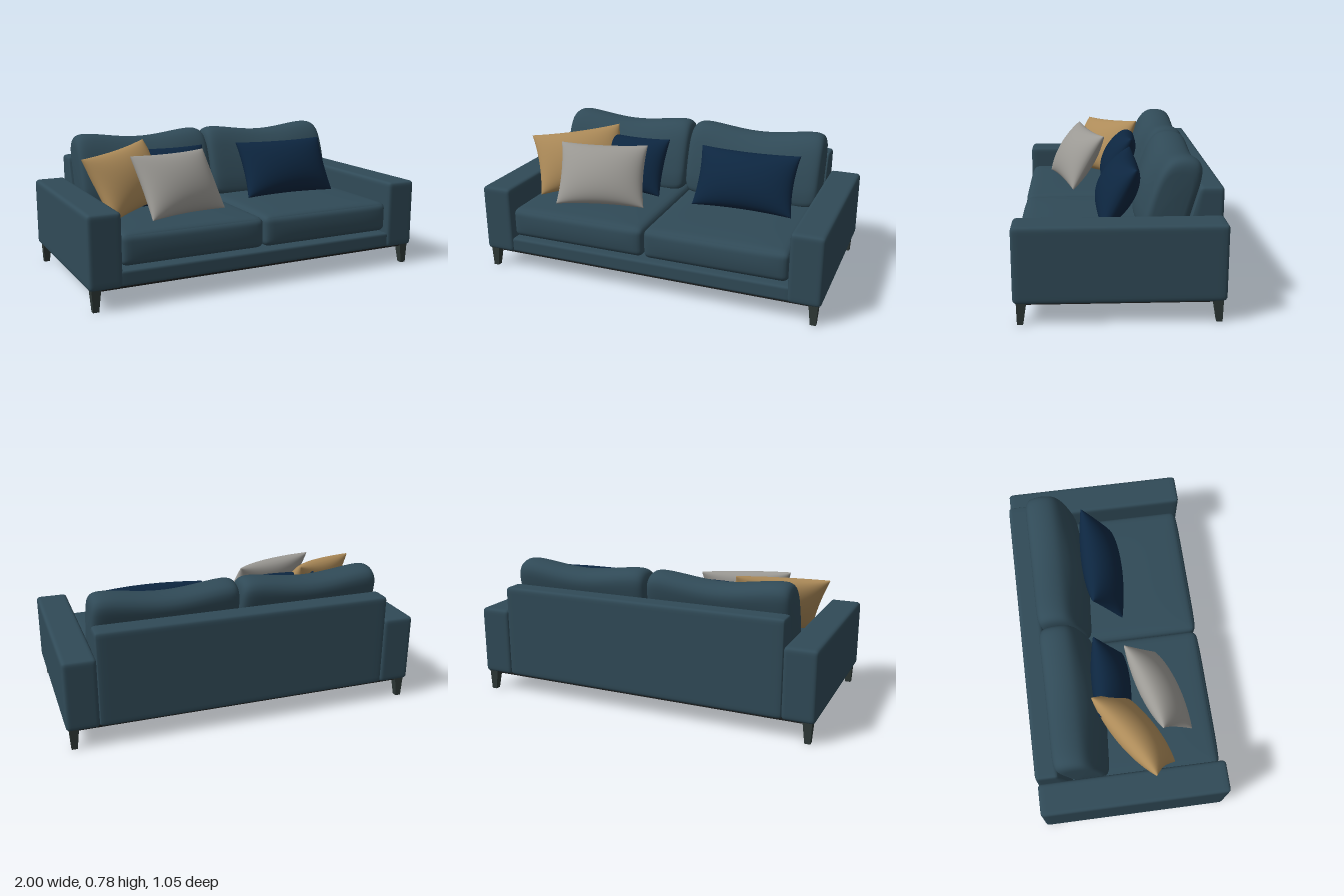
import * as THREE from 'three';
import { mergeVertices } from 'three/addons/utils/BufferGeometryUtils.js';

const paint = (name, color) => {
  const m = new THREE.MeshStandardMaterial({ color });
  m.name = name;
  return m;
};

// Share vertices along seams so the shading is smooth
function smooth(geo) {
  geo.deleteAttribute('uv');
  geo.deleteAttribute('normal');
  const merged = mergeVertices(geo, 1e-5);
  merged.computeVertexNormals();
  return merged;
}

// Box with rounded edges, given by its min and max corners; bend(p, u) may move points further
function softBox(min, max, r, bend) {
  const lo = new THREE.Vector3(...min), hi = new THREE.Vector3(...max);
  const half = hi.clone().sub(lo).multiplyScalar(0.5);
  const mid = hi.clone().add(lo).multiplyScalar(0.5);
  const inner = half.clone().subScalar(r);
  const geo = new THREE.BoxGeometry(2, 2, 2, 24, 24, 24);
  const pos = geo.attributes.position;
  const u = new THREE.Vector3(), p = new THREE.Vector3(), core = new THREE.Vector3();
  for (let i = 0; i < pos.count; i++) {
    u.fromBufferAttribute(pos, i);
    // crowd the grid towards the edges
    u.set(...u.toArray().map(c => Math.sin(c * Math.PI / 2)));
    p.copy(u).multiply(half);
    core.copy(p).clamp(inner.clone().negate(), inner);
    p.sub(core).setLength(r).add(core).add(mid);
    if (bend) bend(p, u);
    pos.setXYZ(i, p.x, p.y, p.z);
  }
  return smooth(geo);
}

// Stuffed pillow: thick in the middle, pinched to a thin seam, with pointed corners
function pillowGeometry(w, h, thick) {
  const geo = new THREE.BoxGeometry(2, 2, 2, 28, 28, 1);
  const pos = geo.attributes.position;
  for (let i = 0; i < pos.count; i++) {
    const u = Math.sin(pos.getX(i) * Math.PI / 2), v = Math.sin(pos.getY(i) * Math.PI / 2);
    const puff = Math.pow(Math.max(0, (1 - u * u) * (1 - v * v)), 0.5);
    pos.setXYZ(i,
      u * w / 2 * (1 - 0.06 * (1 - v * v)),
      v * h / 2 * (1 - 0.07 * (1 - u * u)),
      Math.sign(pos.getZ(i)) * (0.003 + puff * thick / 2));
  }
  return smooth(geo);
}

// Leaning back cushion, lofted along x from a side profile of [z, y] points
function backCushionGeometry(x0, x1) {
  const profile = [[-0.11, 0.39], [-0.105, 0.45], [-0.125, 0.54], [-0.16, 0.64], [-0.205, 0.725],
    [-0.26, 0.775], [-0.33, 0.788], [-0.395, 0.768], [-0.418, 0.73], [-0.41, 0.65], [-0.375, 0.53],
    [-0.345, 0.43], [-0.32, 0.38], [-0.22, 0.375]];
  const curve = new THREE.CatmullRomCurve3(profile.map(([z, y]) => new THREE.Vector3(0, y, z)), true);
  const ring = curve.getPoints(56).slice(0, -1);
  const n = ring.length, sections = 40, verts = [], index = [];
  const cy = 0.58, cz = -0.26;
  for (let i = 0; i <= sections; i++) {
    const s = Math.sin((i / sections - 0.5) * Math.PI);
    const k = Math.pow(Math.max(0, 1 - Math.pow(Math.abs(s), 14)), 1 / 7);
    const sag = Math.pow(Math.cos(s * Math.PI / 2), 2);
    for (const p of ring) {
      const top = THREE.MathUtils.smoothstep(p.y, 0.55, 0.76);
      const front = THREE.MathUtils.smoothstep(p.z, -0.3, -0.12);
      verts.push((x0 + x1) / 2 + s * (x1 - x0) / 2,
        cy + (p.y - 0.036 * sag * top - cy) * k,
        cz + (p.z + 0.02 * (sag - 0.8) * front - cz) * k);
    }
  }
  for (let i = 0; i < sections; i++) {
    for (let j = 0; j < n; j++) {
      const a = i * n + j, b = i * n + (j + 1) % n, c = a + n, d = b + n;
      index.push(a, c, b, b, c, d);
    }
  }
  const geo = new THREE.BufferGeometry();
  geo.setAttribute('position', new THREE.Float32BufferAttribute(verts, 3));
  geo.setIndex(index);
  geo.computeVertexNormals();
  return geo;
}

export function createModel() {
  const model = new THREE.Group();
  model.name = 'sofa';
  const teal = paint('teal fabric', 0x304a57);
  const navy = paint('navy fabric', 0x0d2640);
  const gold = paint('gold fabric', 0xad8b59);
  const grey = paint('light grey fabric', 0x9b9994);
  const black = paint('black lining', 0x1b1d1d);
  const slate = paint('dark slate panel', 0x1b2b37);
  const legGrey = paint('dark leg', 0x2e3836);

  const add = (name, geo, mat) => {
    const mesh = new THREE.Mesh(geo, mat);
    mesh.name = name;
    model.add(mesh);
    return mesh;
  };

  // Frame
  add('base', softBox([-0.84, 0.115, -0.5], [0.84, 0.2, 0.515], 0.015), teal);
  add('backrest', softBox([-0.825, 0.115, -0.523], [0.825, 0.643, -0.4], 0.02, (p, u) => {
    // the inner face slopes forward towards the seat
    if (u.z > 0) p.z += Math.min(0.1, (0.643 - p.y) * 0.27) * u.z;
  }), teal);
  add('underside', new THREE.BoxGeometry(1.95, 0.02, 1.0).translate(0, 0.115, 0), black);

  // Raised panel under the seat
  const w = 0.76, z0 = -0.24, z1 = 0.43, r = 0.17;
  const outline = new THREE.Shape();
  outline.moveTo(-w + r, z0);
  outline.lineTo(w - r, z0);
  outline.quadraticCurveTo(w - 0.03, z0 + 0.03, w, z0 + r);
  outline.lineTo(w, z1 - r);
  outline.quadraticCurveTo(w - 0.03, z1 - 0.03, w - r, z1);
  outline.lineTo(-w + r, z1);
  outline.quadraticCurveTo(-w + 0.03, z1 - 0.03, -w, z1 - r);
  outline.lineTo(-w, z0 + r);
  outline.quadraticCurveTo(-w + 0.03, z0 + 0.03, -w + r, z0);
  const panel = new THREE.ExtrudeGeometry(outline, { depth: 0.03, bevelEnabled: false, curveSegments: 8 });
  add('underPanel', panel.rotateX(Math.PI / 2).translate(0, 0.113, 0), slate);

  // Parts repeated on both sides
  for (const side of [1, -1]) {
    const label = side > 0 ? 'left' : 'right';
    const span = (a, b) => (side > 0 ? [a, b] : [-b, -a]);
    const [a0, a1] = span(0.82, 1);
    add(label + 'Arm', softBox([a0, 0.113, -0.523], [a1, 0.503, 0.523], 0.022), teal);

    const [s0, s1] = span(0.002, 0.818);
    add(label + 'SeatCushion', softBox([s0, 0.212, -0.4], [s1, 0.382, 0.505], 0.035, (p, u) => {
      // crowned top and gently swollen front
      if (u.y > 0) p.y += 0.016 * u.y * (1 - u.x ** 4) * (1 - u.z ** 4);
      if (u.z > 0) p.z += 0.012 * u.z * (1 - u.y ** 2) * (1 - u.x ** 6);
    }), teal);
    add(label + 'BackCushion', backCushionGeometry(...span(0.002, 0.818)), teal);

    // Tapered legs, straight on the outer sides
    for (const end of [1, -1]) {
      const leg = new THREE.BoxGeometry(0.05, 0.115, 0.05);
      const pos = leg.attributes.position;
      for (let i = 0; i < pos.count; i++) {
        if (pos.getY(i) < 0) {
          pos.setX(i, pos.getX(i) * 0.62 + side * 0.004);
          pos.setZ(i, pos.getZ(i) * 0.6 + end * 0.008);
        }
      }
      leg.computeVertexNormals();
      add(label + (end > 0 ? 'FrontLeg' : 'BackLeg'), leg, legGrey)
        .position.set(side * 0.958, 0.0575, end * 0.481);
    }
  }

  // Throw pillows: centre, width vector, height vector, thickness
  const pillows = [
    ['leftNavyPillow', navy, [0.425, 0.55, -0.01], [0.59, 0, 0], [0, 0.31, -0.17], 0.2],
    ['middleNavyPillow', navy, [-0.32, 0.55, -0.05], [0.46, 0, 0.02], [0, 0.31, -0.16], 0.18],
    ['goldPillow', gold, [-0.61, 0.57, 0.04], [0.45, 0.045, -0.29], [-0.13, 0.32, -0.13], 0.19],
    ['greyPillow', grey, [-0.38, 0.555, 0.21], [0.49, -0.01, -0.145], [-0.03, 0.315, -0.195], 0.18],
  ];
  for (const [name, mat, centre, wide, tall, thick] of pillows) {
    const x = new THREE.Vector3(...wide), y = new THREE.Vector3(...tall);
    const mesh = add(name, pillowGeometry(x.length(), y.length(), thick), mat);
    const z = x.clone().cross(y).normalize();
    x.normalize();
    y.crossVectors(z, x);
    mesh.quaternion.setFromRotationMatrix(new THREE.Matrix4().makeBasis(x, y, z));
    mesh.position.set(...centre);
  }
  return model;
}
